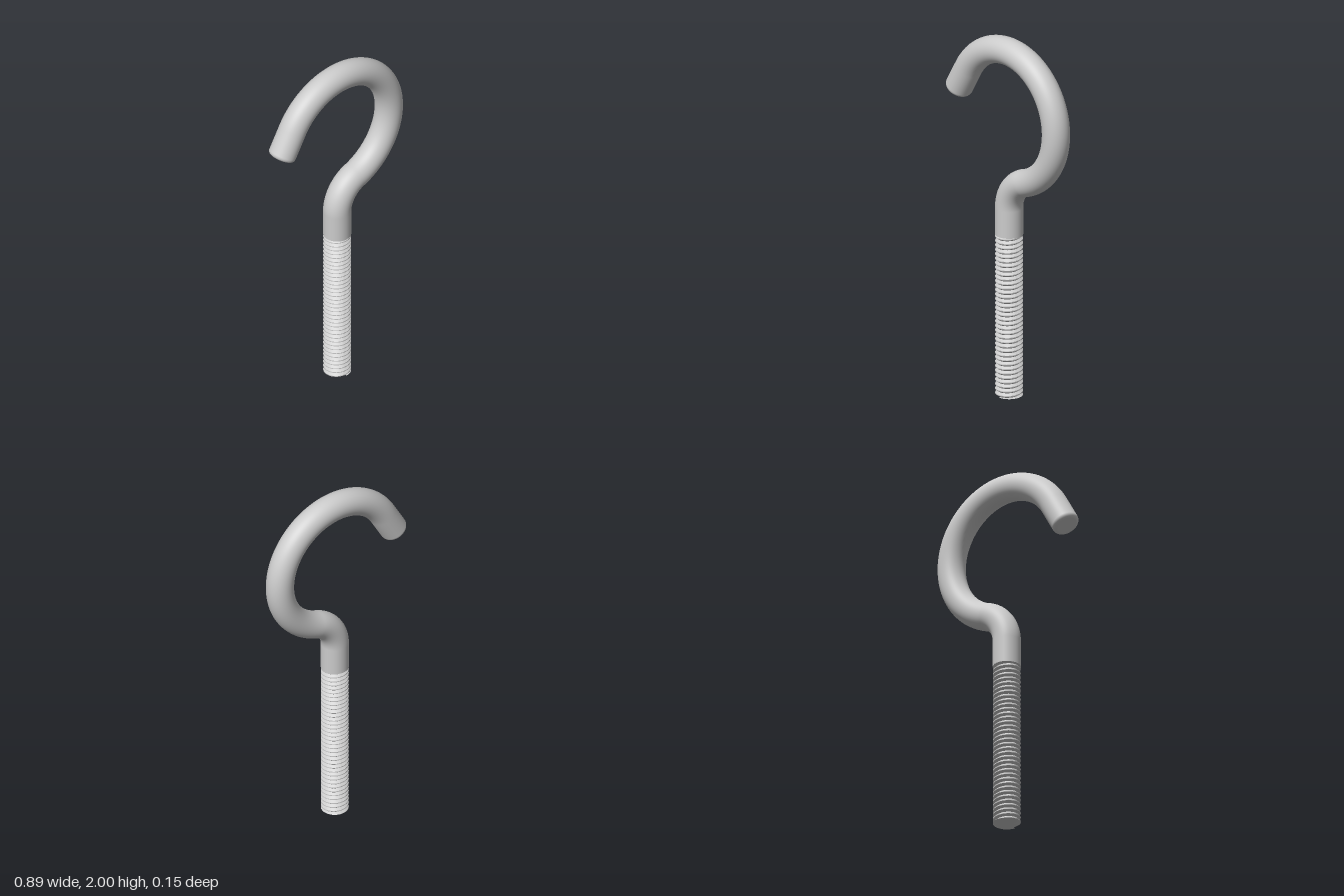
import * as THREE from 'three';
import { toCreasedNormals } from 'three/addons/utils/BufferGeometryUtils.js';

const ROD = 0.074;          // rod radius
const AXIS = 0.003;         // x of the shank axis
const THREAD_TOP = 0.905;
const material = new THREE.MeshStandardMaterial({ color: 0xcccccc });

// Lifts a flat path into space, parametrised by length
class FlatCurve extends THREE.Curve {
  constructor(path) {
    super();
    this.path = path;
  }
  getPoint(t, target = new THREE.Vector3()) {
    const p = this.path.getPoint(t);
    return target.set(p.x, p.y, 0);
  }
}

function addMesh(group, name, geometry) {
  const mesh = new THREE.Mesh(geometry, material);
  mesh.name = name;
  group.add(mesh);
  return mesh;
}

// V-shaped screw thread: a ridged lathe, sheared into a helix and cut flat at both ends
function threadGeometry() {
  const turns = 36, pitch = THREAD_TOP / turns, outer = 0.073, root = 0.06;
  const profile = [new THREE.Vector2(0, -pitch)];
  for (let i = -1; i <= turns; i++) {
    const y = i * pitch;
    profile.push(
      new THREE.Vector2(root, y),
      new THREE.Vector2(outer, y + pitch * 0.4),
      new THREE.Vector2(outer, y + pitch * 0.6)
    );
  }
  profile.push(new THREE.Vector2(0, (turns + 1) * pitch));

  const segments = 48;
  const geometry = new THREE.LatheGeometry(profile, segments);
  const pos = geometry.attributes.position;
  for (let i = 0; i < pos.count; i++) {
    const turn = Math.floor(i / profile.length) / segments;
    pos.setY(i, THREE.MathUtils.clamp(pos.getY(i) + turn * pitch, 0, THREAD_TOP));
  }
  return toCreasedNormals(geometry, 0.5);
}

export function createModel() {
  const group = new THREE.Group();
  group.name = 'screwHook';

  addMesh(group, 'threadedShank', threadGeometry()).position.x = AXIS;

  // Centre line: plain shank, neck bend, large hook arc, straight tip
  const bendY = 1.05, bendR = 0.184;
  const hookX = 0.003, hookY = 1.563, hookR = 0.362;
  const tangentAngle = Math.atan2(hookY - bendY, hookX - AXIS - bendR);
  const endAngle = Math.PI * 5 / 6;
  const tipLength = 0.14;
  const tip = new THREE.Vector2(
    hookX + hookR * Math.cos(endAngle) - Math.sin(endAngle) * tipLength,
    hookY + hookR * Math.sin(endAngle) + Math.cos(endAngle) * tipLength
  );
  const path = new THREE.Path();
  path.moveTo(AXIS, THREAD_TOP - 0.003);
  path.lineTo(AXIS, bendY);
  path.absarc(AXIS + bendR, bendY, bendR, Math.PI, tangentAngle, true);
  path.absarc(hookX, hookY, hookR, tangentAngle - Math.PI, endAngle, false);
  path.lineTo(tip.x, tip.y);
  addMesh(group, 'hook', new THREE.TubeGeometry(new FlatCurve(path), 180, ROD, 48));

  // Underside of the plain shank, where it meets the thread
  const collar = addMesh(group, 'shankShoulder', new THREE.CircleGeometry(ROD, 48));
  collar.rotation.x = Math.PI / 2;
  collar.position.set(AXIS, THREAD_TOP - 0.003, 0);

  // Rounded-over end of the hook
  const fillet = 0.022;
  const capProfile = [new THREE.Vector2(ROD, -0.002)];
  for (let i = 0; i <= 8; i++) {
    const a = (i / 8) * Math.PI / 2;
    capProfile.push(new THREE.Vector2(ROD - fillet + fillet * Math.cos(a), fillet * Math.sin(a)));
  }
  capProfile.push(new THREE.Vector2(0, fillet));
  const cap = addMesh(group, 'hookTip', new THREE.LatheGeometry(capProfile, 48));
  cap.position.set(tip.x, tip.y, 0);
  cap.rotation.z = endAngle;

  return group;
}
